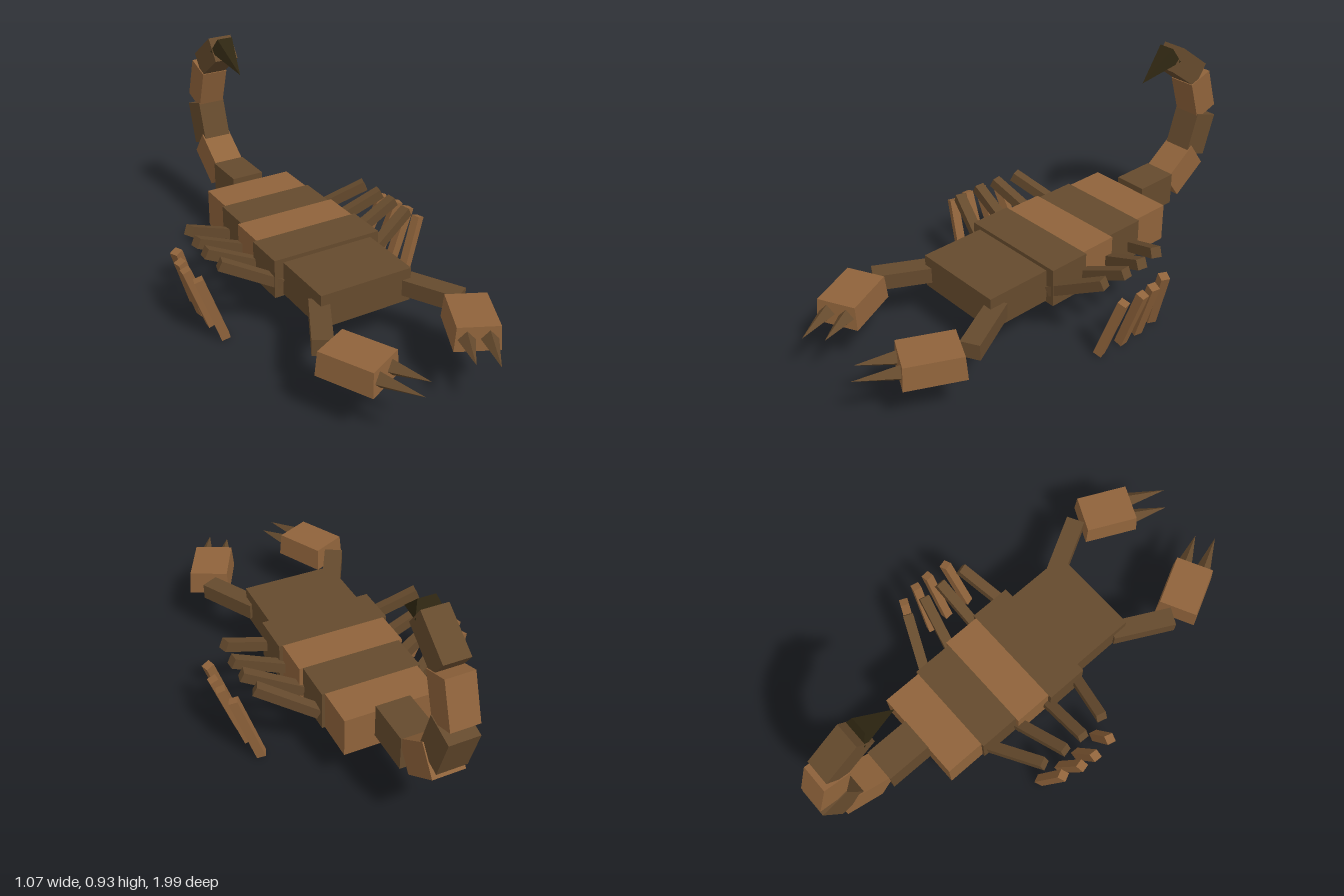
import * as THREE from 'three';

export function createModel() {
  const root = new THREE.Group();
  root.name = 'scorpion';

  const material = (name, color) => {
    const m = new THREE.MeshStandardMaterial({ color, flatShading: true });
    m.name = name;
    return m;
  };
  const light = material('light brown', 0x8f633b);
  const dark = material('dark brown', 0x654a2d);
  const black = material('stinger black brown', 0x2e2611);
  const rad = THREE.MathUtils.degToRad;

  function add(parent, name, geometry, mat, x, y, z) {
    const mesh = new THREE.Mesh(geometry, mat);
    mesh.name = name;
    mesh.position.set(x, y, z);
    parent.add(mesh);
    return mesh;
  }
  const box = (parent, name, w, h, d, mat, x, y, z) =>
    add(parent, name, new THREE.BoxGeometry(w, h, d), mat, x, y, z);

  // Head and body plates, front to back: [half width, front z, back z]
  box(root, 'head', 0.395, 0.14, 0.28, dark, 0, 0.243, 0.272);
  [[0.235, 0.135, -0.04], [0.22, -0.04, -0.2], [0.205, -0.2, -0.37], [0.193, -0.37, -0.535]]
    .forEach(([hw, z0, z1], i) =>
      box(root, 'bodyPlate' + (i + 1), hw * 2, 0.163, z0 - z1, i % 2 ? light : dark,
        0, 0.248, (z0 + z1) / 2));

  // Tail curling up and forward: [width, thickness, length, y, z], 36 degrees per joint
  [[0.14, 0.14, 0.19, 0.285, -0.63], [0.13, 0.13, 0.187, 0.34, -0.815],
    [0.12, 0.122, 0.183, 0.483, -0.912], [0.113, 0.115, 0.183, 0.67, -0.912],
    [0.104, 0.107, 0.187, 0.823, -0.81]]
    .forEach(([w, t, l, y, z], i) => {
      const seg = box(root, 'tailSegment' + (i + 1), w, t, l, i % 2 ? light : dark, 0, y, z);
      seg.rotation.x = rad(36 * i);
    });

  // Stinger, a five-sided spike pointing forward and down
  const stinger = add(root, 'stinger', new THREE.ConeGeometry(0.058, 0.177, 5), black, 0, 0.845, -0.658);
  stinger.rotation.x = rad(117);

  // Hand block, slightly narrower at the top
  const handGeometry = new THREE.BoxGeometry(0.173, 0.097, 0.23);
  const p = handGeometry.attributes.position;
  for (let i = 0; i < p.count; i++) {
    if (p.getY(i) > 0) {
      p.setX(i, p.getX(i) * 0.92);
      p.setZ(i, p.getZ(i) * 0.95);
    }
  }
  handGeometry.computeVertexNormals();

  for (const s of [1, -1]) {
    const side = s > 0 ? 'left' : 'right';

    // Walking legs: [root z, sweep in degrees]
    [[0.12, 16], [-0.04, 3], [-0.19, -12], [-0.335, -24]].forEach(([z, sweep], i) => {
      const leg = new THREE.Group();
      leg.name = side + 'Leg' + (i + 1);
      leg.position.set(0.2 * s, 0, z);
      leg.rotation.y = s > 0 ? rad(sweep) : Math.PI - rad(sweep);
      box(leg, 'upperLeg', 0.263, 0.042, 0.042, dark, 0.118, 0.278, 0).rotation.z = 0.452;
      box(leg, 'lowerLeg', 0.036, 0.288, 0.036, light, 0.271, 0.1425, 0).rotation.z = -0.335;
      root.add(leg);
    });

    // Arm angled outward
    const arm = box(root, side + 'Arm', 0.078, 0.066, 0.264, dark, 0.237 * s, 0.236, 0.476);
    arm.rotation.y = rad(28) * s;

    // Hand angled inward with two pincer spikes
    const claw = new THREE.Group();
    claw.name = side + 'Claw';
    claw.position.set(0.243 * s, 0.237, 0.723);
    claw.rotation.y = rad(-26) * s;
    add(claw, 'hand', handGeometry, light, 0, 0, 0);
    for (const [x, length] of [[0.04, 0.17], [-0.042, 0.15]]) {
      const spike = add(claw, 'pincer', new THREE.ConeGeometry(0.033, length, 4), dark,
        x * s, 0, 0.11 + length / 2);
      spike.rotation.x = Math.PI / 2;
    }
    root.add(claw);
  }

  return root;
}
